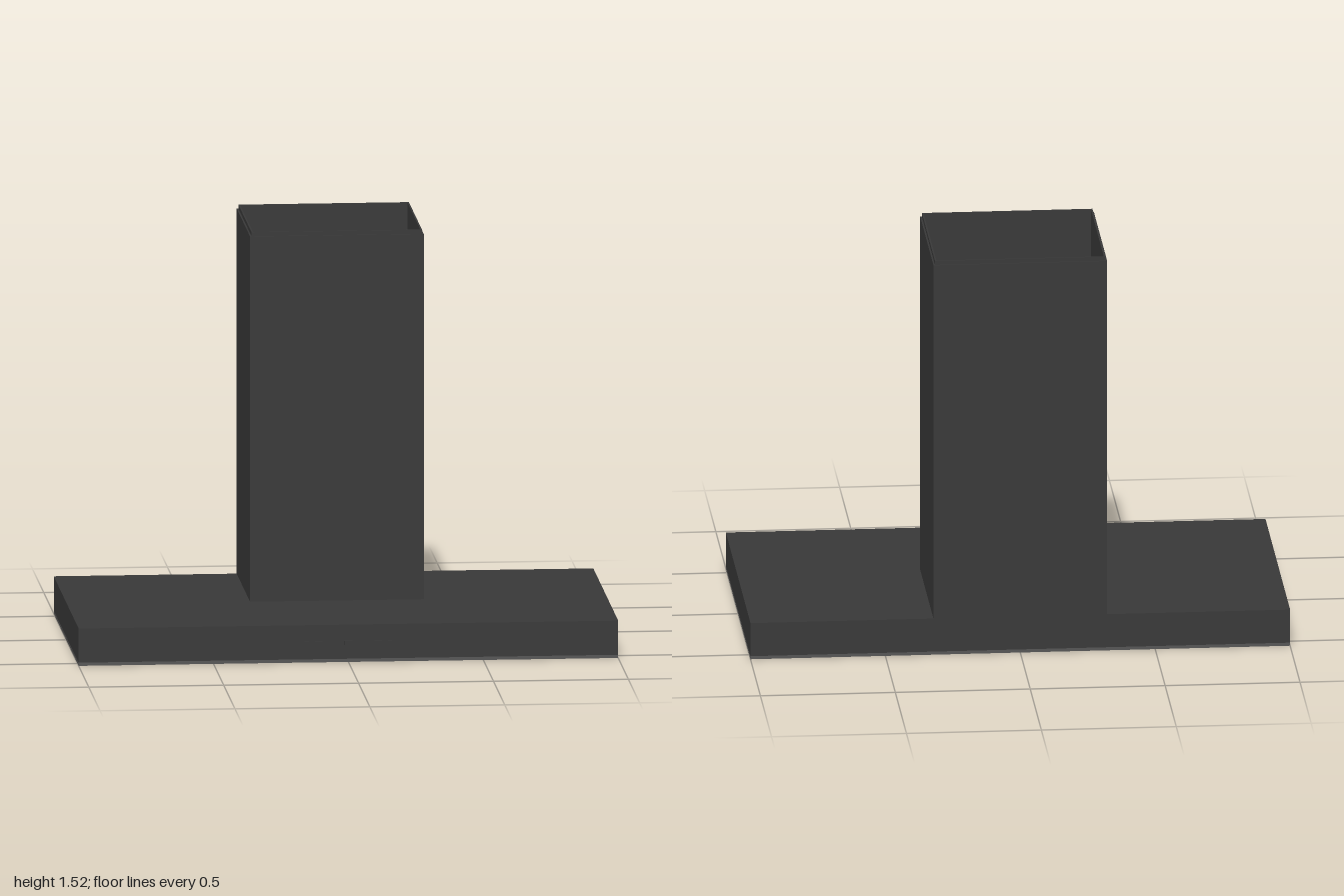
import * as THREE from 'three';

export function createModel() {
  const model = new THREE.Group();
  const dark = new THREE.MeshStandardMaterial({ color: 0x383838 });
  const under = new THREE.MeshStandardMaterial({ color: 0x555555 });
  const black = new THREE.MeshStandardMaterial({ color: 0x1c1c1c });

  const add = (name, geometry, material, x = 0, y = 0, z = 0) => {
    const mesh = new THREE.Mesh(geometry, material);
    mesh.name = name;
    mesh.position.set(x, y, z);
    model.add(mesh);
    return mesh;
  };
  // Box given by its limits on each axis
  const box = (name, material, [x0, x1], [y0, y1], [z0, z1]) =>
    add(name, new THREE.BoxGeometry(x1 - x0, y1 - y0, z1 - z0), material,
      (x0 + x1) / 2, (y0 + y1) / 2, (z0 + z1) / 2);
  // Upright rectangular tube, open at both ends
  const rect = (path, w, d) => path.moveTo(-w / 2, -d / 2).lineTo(w / 2, -d / 2)
    .lineTo(w / 2, d / 2).lineTo(-w / 2, d / 2).closePath();
  const duct = (name, material, w, d, wall, y0, y1, z) => {
    const shape = rect(new THREE.Shape(), w, d);
    shape.holes.push(rect(new THREE.Path(), w - 2 * wall, d - 2 * wall));
    const geometry = new THREE.ExtrudeGeometry(shape, { depth: y1 - y0, bevelEnabled: false });
    geometry.rotateX(-Math.PI / 2);
    return add(name, geometry, material, 0, y0, z);
  };

  // Canopy with a rim around the shallow underside recess
  box('canopy', dark, [-1, 1], [0.012, 0.14], [-0.555, 0.55]);
  duct('canopyRim', under, 2, 1.105, 0.012, 0, 0.012, -0.0025);

  // Chimney: outer cover and the slightly taller inner sleeve
  duct('chimneyCover', dark, 0.644, 0.597, 0.006, 0.14, 1.51, -0.2585);
  duct('chimneySleeve', dark, 0.632, 0.585, 0.006, 0.16, 1.525, -0.2585);

  // Fan outlet, electronics box and cable inside the chimney
  const collar = new THREE.LatheGeometry(
    [[0.158, 0.14], [0.165, 0.14], [0.165, 0.24], [0.158, 0.24], [0.158, 0.14]]
      .map(([r, y]) => new THREE.Vector2(r, y)), 48);
  collar.computeVertexNormals();
  const flatCollar = collar.toNonIndexed();
  flatCollar.computeVertexNormals();
  add('outletCollar', flatCollar, dark, 0, 0, -0.32);
  add('fanHub', new THREE.CylinderGeometry(0.015, 0.015, 0.03, 16), dark, 0, 0.155, -0.32);
  box('electronicsBox', dark, [-0.27, 0.275], [0.14, 0.22], [-0.13, 0.025]);
  box('cableInlet', dark, [0.2, 0.23], [0.14, 0.18], [-0.2, -0.13]);

  // Underside: three filters with latches, then the light panel in front
  box('undersidePlate', under, [-0.985, 0.985], [0.009, 0.012], [-0.54, 0.535]);
  for (const i of [-1, 0, 1]) {
    const x = i * 0.64;
    box('greaseFilter', under, [x - 0.317, x + 0.317], [0.004, 0.01], [-0.49, 0.315]);
    box('filterLatch', black, [x - 0.035, x + 0.035], [0.002, 0.004], [0.2, 0.245]);
    box('latchTab', under, [x - 0.03, x + 0.03], [0.0015, 0.004], [0.205, 0.24]);
    for (const s of [-1, 1])
      box('filterSlot', black, [x + s * 0.17 - 0.11, x + s * 0.17 + 0.11], [0.003, 0.004], [0.287, 0.293]);
  }
  box('lightPanel', under, [-0.957, 0.957], [0.004, 0.01], [0.325, 0.495]);
  for (const x of [-0.6, 0.6])
    add('lamp', new THREE.CylinderGeometry(0.05, 0.05, 0.004, 32), under, x, 0.004, 0.41);

  // Control strip on the front edge
  for (const x of [-0.16, -0.11, -0.06, 0, 0.06, 0.11, 0.16])
    box('controlButton', dark, [x - 0.014, x + 0.014], [0.065, 0.08], [0.548, 0.556]);

  return model;
}
